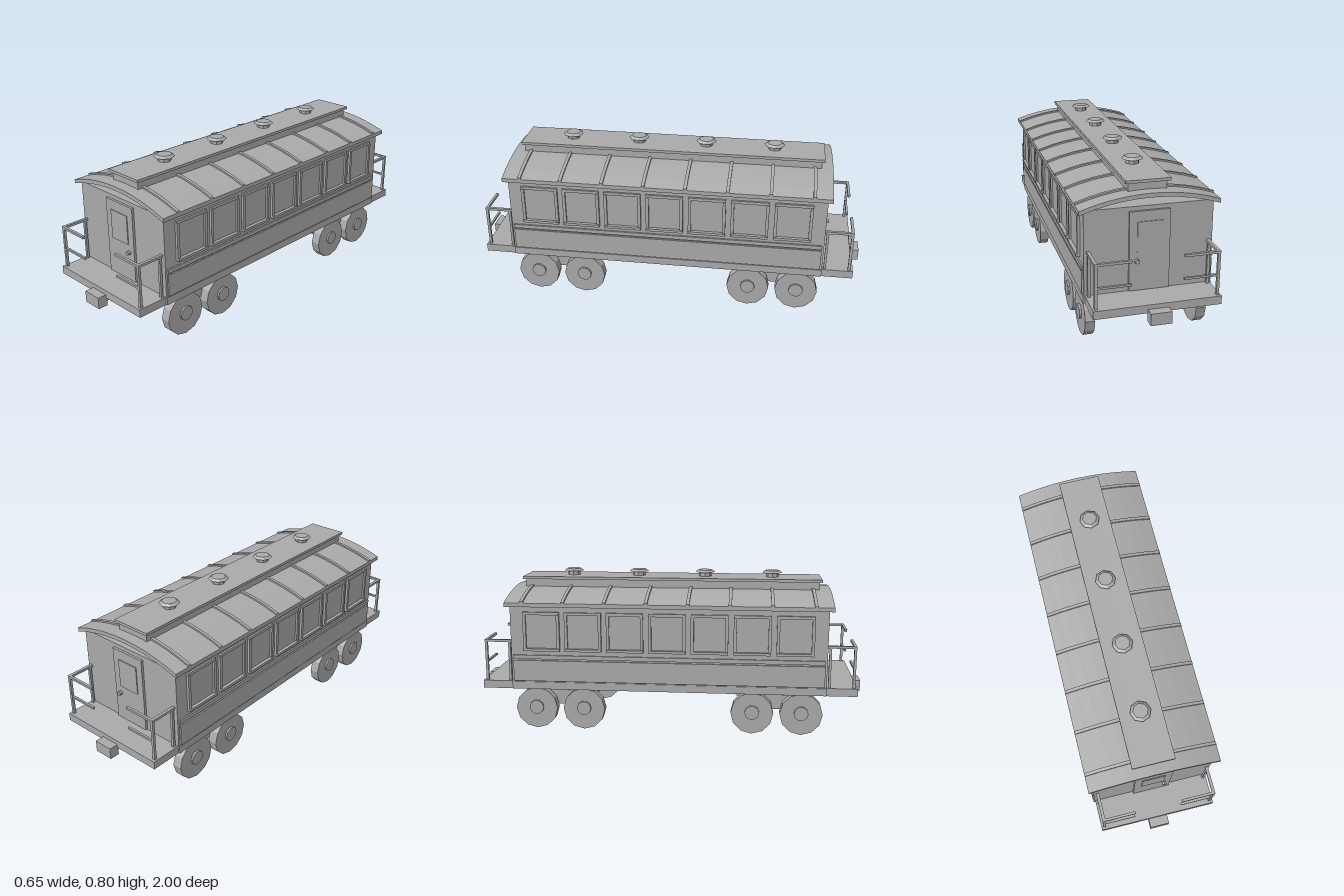
import * as THREE from 'three';

export function createModel() {
  const root = new THREE.Group();
  root.name = 'railwayCarriage';
  const grey = new THREE.MeshStandardMaterial({ color: 0xaaaaaa, flatShading: true });
  grey.name = 'plain grey';

  const add = (name, geo, parent = root) => {
    const m = new THREE.Mesh(geo, grey);
    m.name = name;
    parent.add(m);
    return m;
  };
  // Box given by its limits on each axis
  const box = (name, x0, x1, y0, y1, z0, z1, parent) => {
    const m = add(name, new THREE.BoxGeometry(x1 - x0, y1 - y0, z1 - z0), parent);
    m.position.set((x0 + x1) / 2, (y0 + y1) / 2, (z0 + z1) / 2);
    return m;
  };
  // Cylinder lying along x
  const rod = (name, r, sides, x0, x1, y, z, parent) => {
    const geo = new THREE.CylinderGeometry(r, r, x1 - x0, sides);
    geo.rotateZ(Math.PI / 2);
    const m = add(name, geo, parent);
    m.position.set((x0 + x1) / 2, y, z);
    return m;
  };
  // Curved strip spanning the carriage, extruded along z
  const arch = (name, yBottom, yTop, half, z0, z1) => {
    const R = 0.985, steps = 10, top = [], bottom = [];
    for (let i = 0; i <= steps; i++) {
      const x = half * (2 * i / steps - 1);
      const drop = R - Math.sqrt(R * R - x * x);
      top.push(new THREE.Vector2(x, yTop - drop));
      bottom.unshift(new THREE.Vector2(x, yBottom - drop));
    }
    const geo = new THREE.ExtrudeGeometry(new THREE.Shape([...top, ...bottom]),
      { depth: z1 - z0, bevelEnabled: false });
    add(name, geo).position.z = z0;
  };

  // Underframe and body
  box('platformFloor', -0.296, 0.296, 0.21, 0.25, -0.955, 0.955);
  box('underframeSill', -0.305, 0.305, 0.212, 0.25, -0.8, 0.8);
  box('body', -0.3, 0.3, 0.25, 0.655, -0.8, 0.8);

  // Curved roof with ribs
  arch('roof', 0.698, 0.718, 0.325, -0.822, 0.822);
  for (let i = 0; i < 8; i++) {
    const z = -0.733 + i * 0.2094;
    arch('roofRib', 0.71, 0.726, 0.325, z - 0.008, z + 0.008);
  }

  // Raised roof section and vents
  box('clerestory', -0.09, 0.09, 0.7, 0.753, -0.765, 0.765);
  box('clerestoryCap', -0.105, 0.105, 0.753, 0.767, -0.778, 0.778);
  for (const z of [-0.525, -0.175, 0.175, 0.525]) {
    add('ventStem', new THREE.CylinderGeometry(0.033, 0.033, 0.026, 8)).position.set(0, 0.778, z);
    add('ventCap', new THREE.CylinderGeometry(0.037, 0.052, 0.011, 8)).position.set(0, 0.7945, z);
  }

  // Side panels, moulding and windows
  for (const s of [1, -1]) {
    const side = (name, x0, x1, y0, y1, z0, z1) =>
      box(name, Math.min(s * x0, s * x1), Math.max(s * x0, s * x1), y0, y1, z0, z1);
    side('lowerPanel', 0.299, 0.308, 0.255, 0.363, -0.79, 0.79);
    side('beltMoulding', 0.299, 0.308, 0.371, 0.391, -0.79, 0.79);
    for (let i = -3; i <= 3; i++) {
      const z = i * 0.2132, w = 0.0935, bar = 0.015;
      side('windowPane', 0.299, 0.303, 0.42, 0.61, z - w, z + w);
      side('windowHead', 0.299, 0.31, 0.6, 0.615, z - w, z + w);
      side('windowSill', 0.299, 0.32, 0.415, 0.428, z - w, z + w);
      side('windowJamb', 0.299, 0.313, 0.428, 0.602, z - w, z - w + bar);
      side('windowJamb', 0.299, 0.313, 0.428, 0.602, z + w - bar, z + w);
    }
  }

  // End details, built for the front and mirrored to the back
  for (const e of [1, -1]) {
    const end = new THREE.Group();
    end.name = e > 0 ? 'frontEnd' : 'backEnd';
    root.add(end);
    const endBox = (name, x0, x1, y0, y1, z0, z1) => {
      const a = e > 0 ? z0 : -z1, b = e > 0 ? z1 : -z0;
      return box(name, x0, x1, y0, y1, a, b, end);
    };
    endBox('door', -0.095, 0.095, 0.253, 0.635, 0.798, 0.812);
    endBox('doorWindow', -0.059, 0.058, 0.44, 0.586, 0.811, 0.816);
    const knob = new THREE.CylinderGeometry(0.011, 0.011, 0.018, 6);
    knob.rotateX(Math.PI / 2);
    add('doorKnob', knob, end).position.set(0.061, 0.4, e * 0.82);

    // Platform railings
    for (const s of [1, -1]) {
      const rail = (name, x0, x1, y0, y1, z0, z1) =>
        endBox(name, s > 0 ? x0 : -x1, s > 0 ? x1 : -x0, y0, y1, z0, z1);
      rail('railPost', 0.274, 0.287, 0.25, 0.463, 0.929, 0.942);
      rail('railPost', 0.274, 0.287, 0.25, 0.463, 0.808, 0.82);
      rail('sideHandrail', 0.273, 0.288, 0.453, 0.465, 0.8, 0.942);
      rail('endHandrail', 0.12, 0.288, 0.453, 0.465, 0.929, 0.942);
      rail('middleRail', 0.12, 0.28, 0.343, 0.353, 0.93, 0.941);
    }

    // Coupler
    endBox('couplerShank', -0.035, 0.035, 0.185, 0.225, 0.89, 0.96);
    endBox('couplerHead', -0.049, 0.049, 0.17, 0.228, 0.95, 1.0);

    // Wheel truck
    const truck = new THREE.Group();
    truck.name = 'wheelTruck';
    truck.position.z = e * 0.555;
    root.add(truck);
    box('truckFrame', -0.242, 0.242, 0.118, 0.193, -0.15, 0.15, truck);
    box('truckBolster', -0.12, 0.12, 0.19, 0.212, -0.06, 0.06, truck);
    for (const z of [-0.124, 0.124]) {
      rod('axle', 0.02, 8, -0.25, 0.25, 0.113, z, truck);
      for (const s of [1, -1]) {
        const span = (a, b) => (s > 0 ? [a, b] : [-b, -a]);
        rod('wheel', 0.108, 12, ...span(0.245, 0.292), 0.108, z, truck);
        rod('wheelHub', 0.037, 10, ...span(0.285, 0.302), 0.113, z, truck);
      }
    }
  }
  return root;
}
